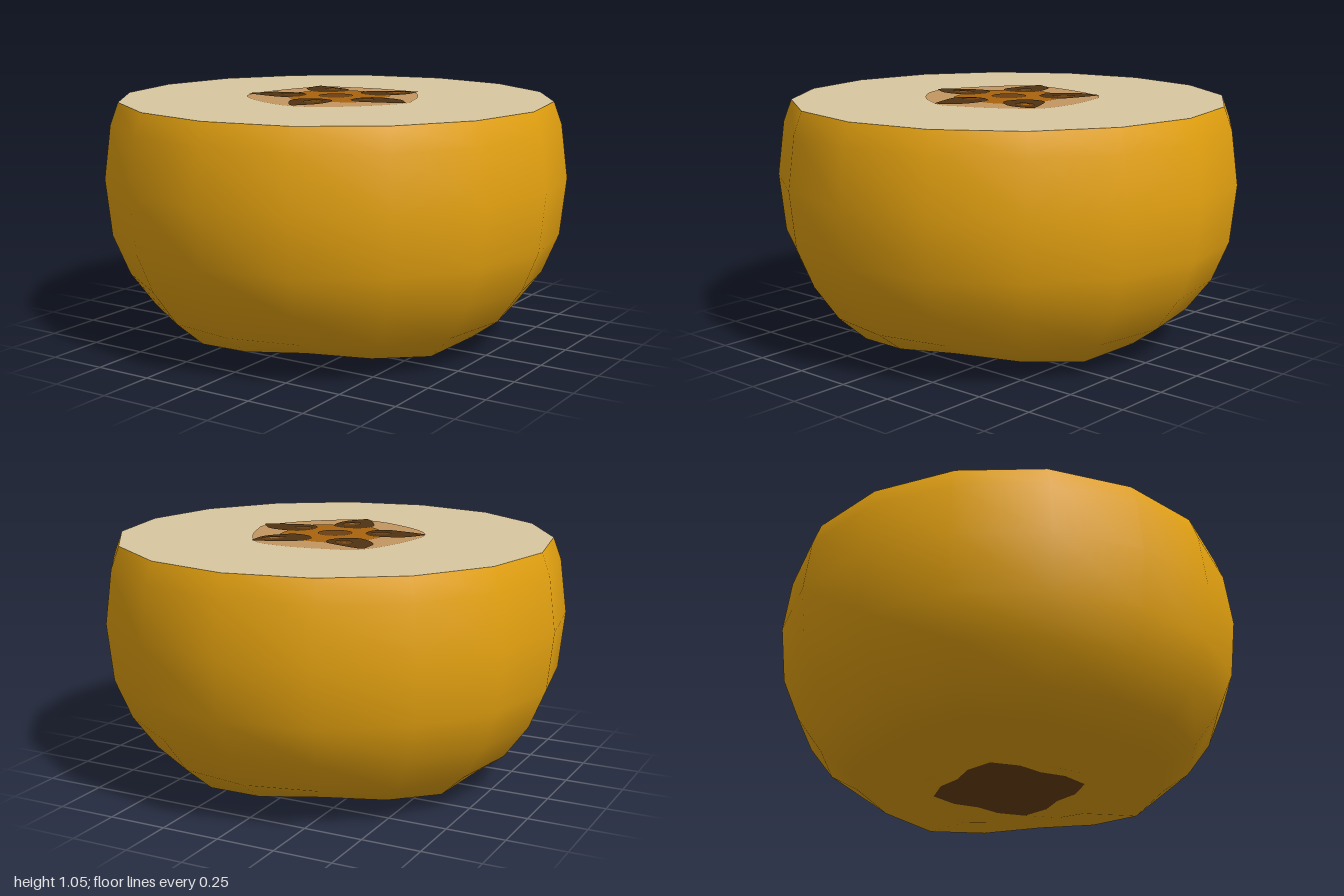
import * as THREE from 'three';
import { mergeVertices } from 'three/addons/utils/BufferGeometryUtils.js';

const material = (name, color) => {
  const m = new THREE.MeshStandardMaterial({ color });
  m.name = name;
  return m;
};

const TOP = 1.045;
const SIDES = 16;

export function createModel() {
  const model = new THREE.Group();
  model.name = 'halvedFruit';
  const skin = material('golden skin', 0xe6a310);
  const flesh = material('cream flesh', 0xd9c7a0);
  const coreTan = material('tan core', 0xc49761);
  const coreOrange = material('amber core', 0xaa640d);
  const seedDark = material('dark seed', 0x4f3211);
  const brown = material('brown', 0x6c4012);

  const add = (name, geometry, mat, parent = model) => {
    const mesh = new THREE.Mesh(geometry, mat);
    mesh.name = name;
    parent.add(mesh);
    return mesh;
  };

  // Skin: lathe profile [radius, y, radius wave, y wave]; four low lobes twist the base
  const profile = [
    [0.29, 0.036, 0.04, 0], [0.39, 0.025, 0, 0.02], [0.68, 0.072, 0, 0.024],
    [0.8, 0.16, 0, 0.006], [0.905, 0.305, 0, 0], [0.975, 0.475, 0, 0],
    [1, 0.72, 0, 0], [0.97, 0.95, 0, 0], [0.935, TOP, 0, 0],
  ];
  let body = new THREE.LatheGeometry(profile.map(([r, y]) => new THREE.Vector2(r, y)), SIDES);
  const pos = body.attributes.position;
  for (let i = 0; i < pos.count; i++) {
    const [r, y, rWave, yWave] = profile[i % profile.length];
    const a = Math.atan2(pos.getZ(i), pos.getX(i));
    const s = Math.sin(4 * a);
    const radius = r - rWave * s;
    pos.setXYZ(i, radius * Math.cos(a), y - yWave * s, radius * Math.sin(a));
  }
  body.deleteAttribute('normal');
  body.deleteAttribute('uv');
  body = mergeVertices(body, 1e-4);
  body.computeVertexNormals();
  add('skin', body, skin);

  // Flat plate lying on the cut, outlined by [x, z] points
  const plate = (name, points, lift, mat, smooth = true) => {
    const v = points.map(([x, z]) => new THREE.Vector2(x, -z));
    const outline = smooth
      ? new THREE.SplineCurve([...v, v[0]]).getPoints(48).slice(0, -1)
      : v;
    const geometry = new THREE.ShapeGeometry(new THREE.Shape(outline));
    geometry.rotateX(-Math.PI / 2);
    return add(name, geometry, mat).translateY(TOP + lift);
  };
  const ring = (n, radius) => Array.from({ length: n }, (_, i) => {
    const a = (i / n) * Math.PI * 2;
    const r = radius(a);
    return [r * Math.cos(a), r * Math.sin(a)];
  });

  // Cut face and blossom end
  plate('cutFace', ring(SIDES, () => 0.935), 0, flesh, false);
  const end = new THREE.ShapeGeometry(new THREE.Shape(
    ring(SIDES, (a) => 0.29 - 0.04 * Math.sin(4 * a)).map(([x, z]) => new THREE.Vector2(x, z))));
  end.rotateX(Math.PI / 2);
  add('blossomEnd', end, brown).position.y = 0.036;

  // Core layers
  plate('outerCore', [
    [0.02, -0.36], [0.19, -0.335], [0.3, -0.19], [0.36, -0.04], [0.375, 0.07], [0.24, 0.27],
    [0.04, 0.385], [-0.19, 0.31], [-0.35, 0.17], [-0.355, -0.03], [-0.27, -0.28], [-0.12, -0.34],
  ], 0.002, coreTan);
  plate('innerCore', [
    [0.06, -0.215], [0.2, -0.13], [0.21, 0.06], [0.19, 0.15], [0.09, 0.2], [0, 0.24],
    [-0.09, 0.2], [-0.16, 0.13], [-0.215, 0.01], [-0.18, -0.11], [-0.08, -0.21],
  ], 0.004, coreOrange);
  plate('coreCentre', ring(24, () => 0.075), 0.006, brown, false);

  // Seeds: [angle, bend of tip, brown spot [r, side, size], amber spot size]
  const seeds = [
    [-58, 0.02, [0.29, 0.02, 0.055], 0.03],
    [13, -0.02, [0.19, 0.01, 0.045], 0],
    [86, -0.01, [0.235, -0.02, 0.055], 0.024],
    [157, 0.02, [0.2, 0.01, 0.045], 0],
    [229, -0.02, [0.235, 0.02, 0.05], 0.02],
  ];
  seeds.forEach(([degrees, bend, [r, side, size], amber], i) => {
    const c = Math.cos(degrees * Math.PI / 180), s = Math.sin(degrees * Math.PI / 180);
    const turn = ([x, z]) => [x * c - z * s, x * s + z * c];
    const spot = (k) => ring(16, () => 1).map(([x, z]) => turn([r + x * k, side + z * k * 0.7]));
    plate(`seed${i + 1}`, [
      [0.13, 0], [0.155, -0.065], [0.22, -0.09], [0.3, -0.07 + bend], [0.36, -0.03 + bend],
      [0.39, bend], [0.37, 0.025 + bend], [0.3, 0.07 + bend], [0.22, 0.09], [0.155, 0.065],
    ].map(turn), 0.006, seedDark);
    plate(`seedSpot${i + 1}`, spot(size), 0.008, brown, false);
    if (amber) plate(`seedGlint${i + 1}`, spot(amber), 0.0095, coreOrange, false);
  });
  return model;
}
